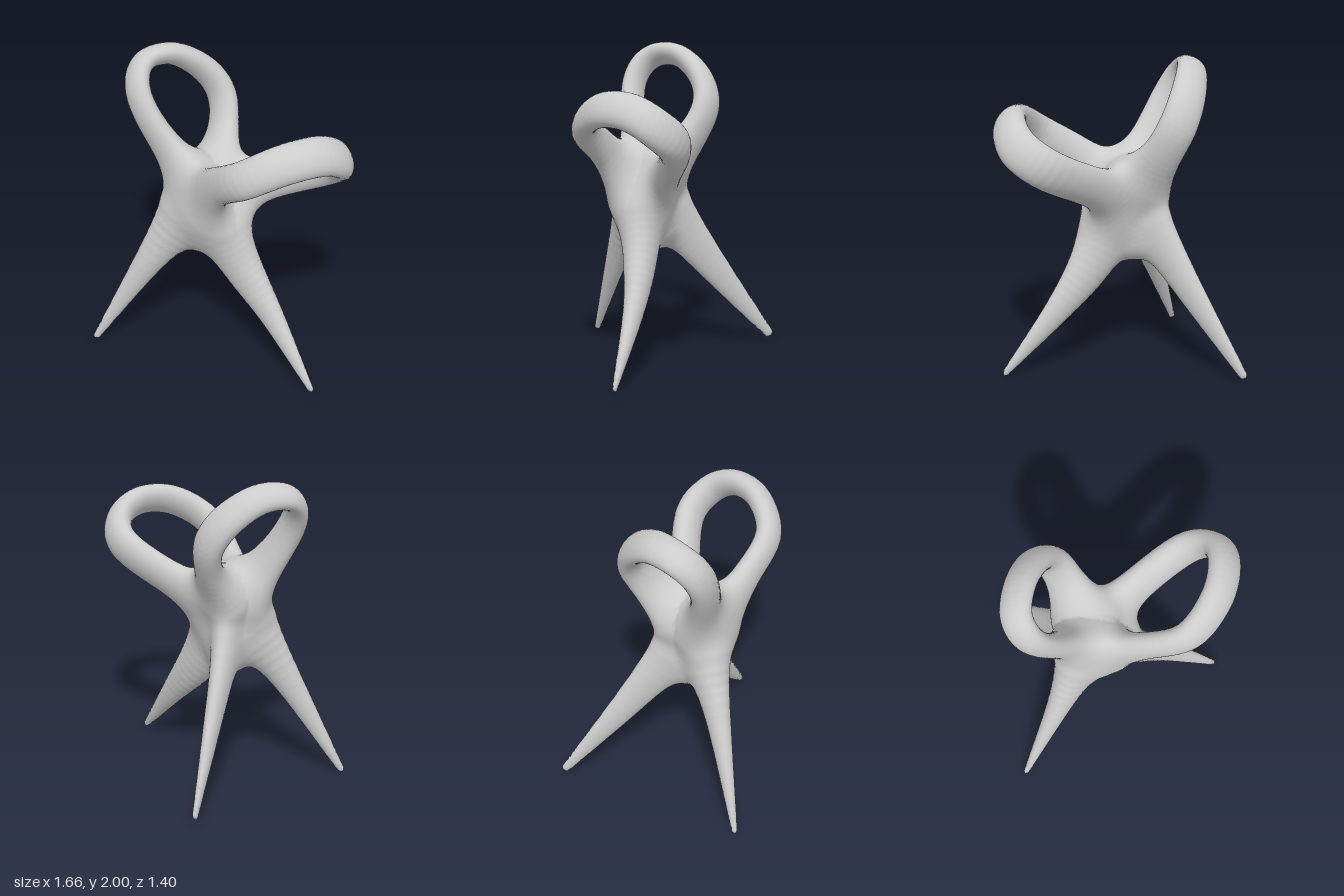
import * as THREE from 'three';

const BLEND = 0.06; // softness of the joins between limbs
const STEP = 0.02;  // sampling grid size
const FINE = 6;     // path pieces between two nodes

// A limb: smooth path of [x, y, z, radius] nodes, its section squashed by `squash` along `normal`.
function makeLimb(nodes, normal, squash) {
  const n = normal.clone().normalize();
  const map = p => p.addScaledVector(n, (squash - 1) * p.dot(n));
  const spline = points => new THREE.CatmullRomCurve3(points, false, 'catmullrom', 0.5);
  const path = spline(nodes.map(a => new THREE.Vector3(a[0], a[1], a[2])));
  const radius = spline(nodes.map(a => new THREE.Vector3(a[3], 0, 0)));
  const count = (nodes.length - 1) * FINE, pts = [];
  for (let i = 0; i <= count; i++) pts.push([...map(path.getPoint(i / count)).toArray(), radius.getPoint(i / count).x]);
  const segs = pts.slice(1).map((b, i) => {
    const a = pts[i], d = b.map((v, k) => v - a[k]);
    return { a, d, len2: d[0] * d[0] + d[1] * d[1] + d[2] * d[2] };
  });
  return (x, y, z) => {
    const k = (squash - 1) * (x * n.x + y * n.y + z * n.z);
    x += k * n.x; y += k * n.y; z += k * n.z;
    let best = Infinity;
    for (const { a, d, len2 } of segs) {
      const px = x - a[0], py = y - a[1], pz = z - a[2];
      const t = Math.max(0, Math.min(1, (px * d[0] + py * d[1] + pz * d[2]) / len2));
      const ex = px - t * d[0], ey = py - t * d[1], ez = pz - t * d[2];
      best = Math.min(best, Math.sqrt(ex * ex + ey * ey + ez * ez) - a[3] - t * d[3]);
    }
    return best;
  };
}

// Legs are thin sideways and deep in their own vertical plane.
function makeLeg(nodes, squash) {
  const a = nodes[0], b = nodes[nodes.length - 1];
  return makeLimb(nodes, new THREE.Vector3(b[2] - a[2], 0, a[0] - b[0]), squash);
}

// Skin the blended limbs: one vertex per crossed grid cell, one quad per crossed grid edge.
function skin(field, min, max) {
  const size = min.map((v, a) => Math.ceil((max[a] - v) / STEP) + 1);
  const stride = [1, size[0], size[0] * size[1]];
  const values = new Float32Array(size[0] * size[1] * size[2]);
  const at = (i, a) => min[a] + i * STEP;
  let w = 0;
  for (let k = 0; k < size[2]; k++)
    for (let j = 0; j < size[1]; j++)
      for (let i = 0; i < size[0]; i++) values[w++] = field(at(i, 0), at(j, 1), at(k, 2));

  const gradient = p => {
    const e = 0.006;
    return new THREE.Vector3(
      field(p.x + e, p.y, p.z) - field(p.x - e, p.y, p.z),
      field(p.x, p.y + e, p.z) - field(p.x, p.y - e, p.z),
      field(p.x, p.y, p.z + e) - field(p.x, p.y, p.z - e)).divideScalar(2 * e);
  };
  const positions = [], normals = [], index = [], known = new Map();

  const cellVertex = c => {
    const key = c[0] + c[1] * stride[1] + c[2] * stride[2];
    if (known.has(key)) return known.get(key);
    const corner = m => values[key + (m & 1) + ((m >> 1) & 1) * stride[1] + (m >> 2) * stride[2]];
    const p = new THREE.Vector3();
    let hits = 0;
    for (let m = 0; m < 8; m++)
      for (let axis = 0; axis < 3; axis++) {
        const bit = 1 << axis, va = corner(m), vb = corner(m | bit);
        if (m & bit || (va < 0) === (vb < 0)) continue;
        const o = [m & 1, (m >> 1) & 1, m >> 2];
        o[axis] = va / (va - vb);
        p.add(new THREE.Vector3(...o));
        hits++;
      }
    p.divideScalar(hits).multiplyScalar(STEP).add(new THREE.Vector3(...c.map(at)));
    // settle onto the true surface
    for (let i = 0; i < 2; i++) {
      const g = gradient(p);
      const move = -field(p.x, p.y, p.z) / Math.max(g.lengthSq(), 0.1);
      p.add(g.multiplyScalar(move).clampLength(0, STEP * 0.5));
    }
    positions.push(p.x, p.y, p.z);
    normals.push(...gradient(p).normalize().toArray());
    known.set(key, positions.length / 3 - 1);
    return known.get(key);
  };

  for (let k = 1; k < size[2] - 1; k++)
    for (let j = 1; j < size[1] - 1; j++)
      for (let i = 1; i < size[0] - 1; i++) {
        const key = i + j * stride[1] + k * stride[2], inside = values[key] < 0;
        for (let a = 0; a < 3; a++) {
          if (inside === values[key + stride[a]] < 0) continue;
          const q = [[0, 0], [1, 0], [1, 1], [0, 1]].map(([u, v]) => {
            const c = [i, j, k];
            c[(a + 1) % 3] -= u;
            c[(a + 2) % 3] -= v;
            return cellVertex(c);
          });
          if (!inside) q.reverse();
          index.push(q[0], q[1], q[2], q[0], q[2], q[3]);
        }
      }
  const geometry = new THREE.BufferGeometry();
  geometry.setAttribute('position', new THREE.Float32BufferAttribute(positions, 3));
  geometry.setAttribute('normal', new THREE.Float32BufferAttribute(normals, 3));
  geometry.setIndex(index);
  return geometry;
}

export function createModel() {
  // core where all limbs meet
  const core = makeLimb([[-0.13, 0.84, 0.13, 0.11], [-0.1, 1.03, 0.21, 0.165], [-0.15, 1.21, 0.17, 0.165]],
    new THREE.Vector3(0, 1, 0), 1);

  const rightLeg = makeLeg([[-0.25, 0.98, 0.23, 0.16], [-0.48, 0.61, 0.315, 0.092], [-0.815, 0.025, 0.42, 0.023]], 1.25);
  const leftLeg = makeLeg([[0, 0.92, 0.24, 0.17], [0.155, 0.67, 0.265, 0.14], [0.37, 0.405, 0.34, 0.088],
    [0.675, 0.03, 0.495, 0.023]], 1.4);
  const backLeg = makeLeg([[-0.18, 0.92, 0.01, 0.15], [-0.235, 0.52, -0.3, 0.096], [-0.302, 0.065, -0.67, 0.032]], 1.8);

  // loops are bands, wider across than thick
  const tallLoop = makeLimb([[-0.22, 1.22, 0.2, 0.09], [-0.47, 1.6, 0.215, 0.072], [-0.565, 1.8, 0.165, 0.067],
    [-0.555, 1.91, 0.05, 0.065], [-0.43, 1.91, -0.09, 0.068], [-0.275, 1.79, -0.195, 0.075],
    [-0.165, 1.63, -0.215, 0.078], [-0.12, 1.45, -0.13, 0.08], [-0.12, 1.24, 0.04, 0.1]],
  new THREE.Vector3(0.25, 0.18, 0.18), 0.64);
  const sideLoop = makeLimb([[-0.08, 1.13, 0.31, 0.09], [0.04, 1.36, 0.465, 0.075], [0.26, 1.535, 0.61, 0.075],
    [0.49, 1.655, 0.555, 0.078], [0.66, 1.665, 0.41, 0.08], [0.725, 1.57, 0.25, 0.084],
    [0.6, 1.435, 0.115, 0.086], [0.2, 1.235, 0.1, 0.086], [0, 1.1, 0.15, 0.1]],
  new THREE.Vector3(0.22, -0.3, 0.15), 0.66);

  const limbs = [core, rightLeg, leftLeg, backLeg, tallLoop, sideLoop];
  const field = (x, y, z) => {
    let sum = 0;
    for (const limb of limbs) sum += Math.exp(-limb(x, y, z) / BLEND);
    return -BLEND * Math.log(sum);
  };
  const material = new THREE.MeshStandardMaterial({ color: 0xcccccc });
  const sculpture = new THREE.Mesh(skin(field, [-0.95, -0.1, -0.85], [0.95, 2.15, 0.85]), material);
  sculpture.name = 'fusedLegsAndLoops';
  const group = new THREE.Group();
  group.name = 'loopedTripodSculpture';
  group.add(sculpture);
  return group;
}
